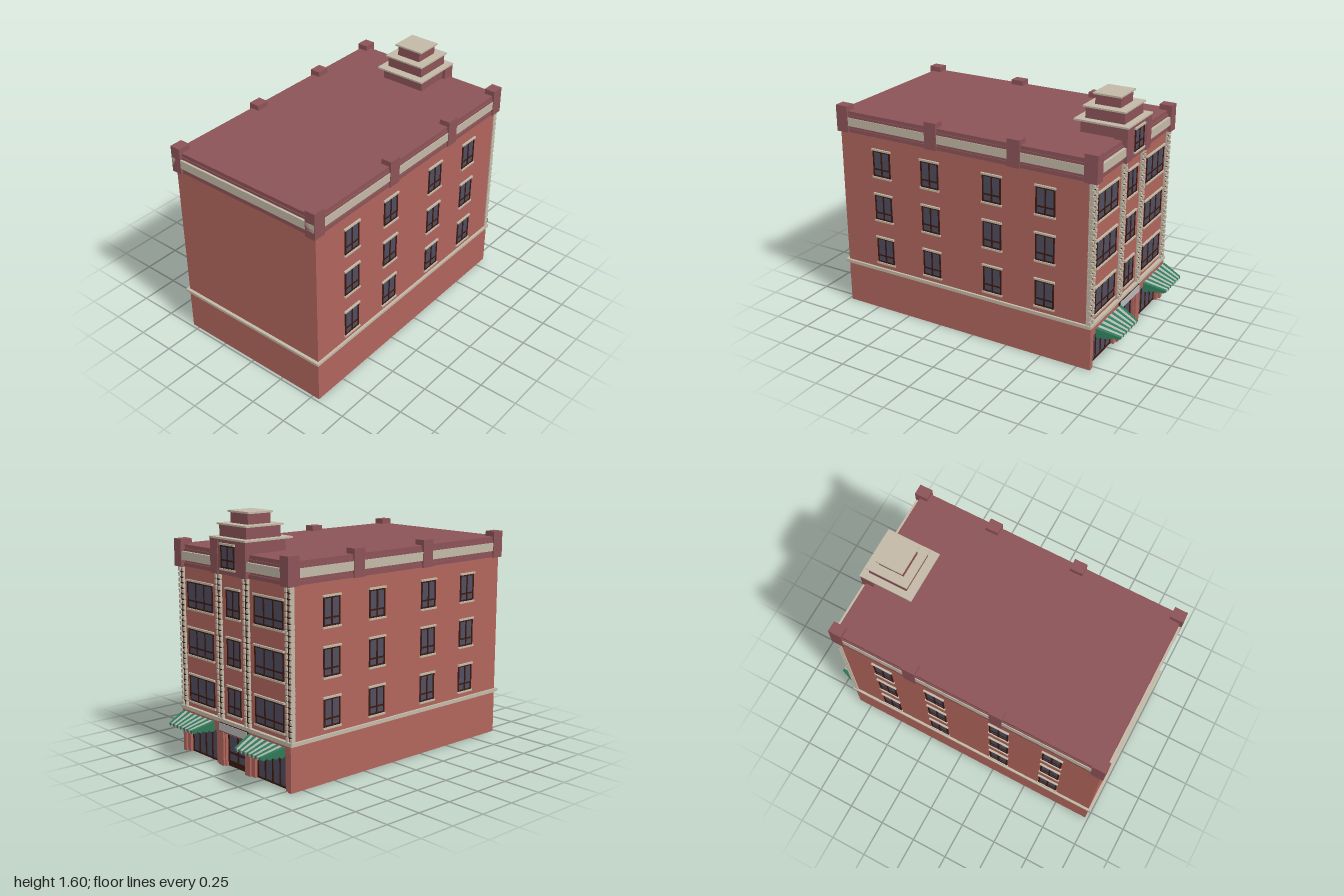
import * as THREE from 'three';

const mat = (color, side = THREE.FrontSide) => new THREE.MeshStandardMaterial({ color, side });
const BRICK = mat(0xb0655c), MAROON = mat(0x8c5357), CREAM = mat(0xc2b8a6), BROWN = mat(0x3b1a10);
const GLASS = mat(0x504d60), SIGN = mat(0xb8b8ba);
const GREEN = mat(0x2f7a58, THREE.DoubleSide), PALE = mat(0xb0b5b0, THREE.DoubleSide);

// Box given by its extents
function box(parent, name, m, x0, x1, y0, y1, z0, z1) {
  const mesh = new THREE.Mesh(new THREE.BoxGeometry(x1 - x0, y1 - y0, z1 - z0), m);
  mesh.position.set((x0 + x1) / 2, (y0 + y1) / 2, (z0 + z1) / 2);
  mesh.name = name;
  parent.add(mesh);
  return mesh;
}

function group(parent, name) {
  const g = new THREE.Group();
  g.name = name;
  parent.add(g);
  return g;
}

// Glazed frame facing +z, base at y = 0, centred on x; rails are heights of cross bars
function glazing(parent, name, w, h, panes, rails, bar = 0.01) {
  const g = group(parent, name);
  box(g, 'glass', GLASS, -w / 2, w / 2, 0, h, -0.01, 0.002);
  for (let i = 0; i <= panes; i++) {
    const x = -w / 2 + bar / 2 + (w - bar) * i / panes;
    box(g, 'mullion', BROWN, x - bar / 2, x + bar / 2, 0, h, -0.01, 0.006);
  }
  for (const y of [bar / 2, ...rails, h - bar / 2])
    box(g, 'rail', BROWN, -w / 2, w / 2, y - bar / 2, y + bar / 2, -0.01, 0.005);
  return g;
}

// Window with sill and lintel
function windowUnit(parent, w, h, panes) {
  const g = glazing(parent, 'window', w, h, panes, [0.05]);
  box(g, 'sill', CREAM, -w / 2 - 0.006, w / 2 + 0.006, -0.012, 0, -0.01, 0.012);
  box(g, 'lintel', CREAM, -w / 2 - 0.006, w / 2 + 0.006, h, h + 0.012, -0.01, 0.012);
  return g;
}

// Quad strip from two rows of points
function strip(parent, name, m, top, bottom) {
  const pos = [], idx = [];
  top.forEach((t, i) => {
    pos.push(...t, ...bottom[i]);
    if (i) idx.push(2 * i - 2, 2 * i - 1, 2 * i, 2 * i, 2 * i - 1, 2 * i + 1);
  });
  const geo = new THREE.BufferGeometry();
  geo.setAttribute('position', new THREE.Float32BufferAttribute(pos, 3));
  geo.setIndex(idx);
  geo.computeVertexNormals();
  const mesh = new THREE.Mesh(geo, m);
  mesh.name = name;
  parent.add(mesh);
}

// Striped awning tapering outward, with scalloped valance on three sides
function awning(parent, zc) {
  const g = group(parent, 'awning');
  const inner = t => [0.86, 0.28, zc + (t - 0.5) * 0.35];
  const outer = t => [1.0, 0.235, zc + (t - 0.5) * 0.25];
  const mix = (a, b, t) => a.map((v, i) => v + (b[i] - v) * t);
  const scallops = (m, a, b) => {
    const top = [], low = [];
    for (let i = 0; i <= 6; i++) {
      const p = mix(a, b, i / 6);
      top.push(p);
      low.push([p[0], 0.226 - 0.011 * Math.sin(Math.PI * i / 6), p[2]]);
    }
    strip(g, 'valance', m, top, low);
  };
  const n = 13;
  for (let i = 0; i < n; i++) {
    const m = i % 2 ? PALE : GREEN, a = i / n, b = (i + 1) / n;
    strip(g, 'stripe', m, [inner(a), inner(b)], [outer(a), outer(b)]);
    scallops(m, outer(a), outer(b));
  }
  for (const t of [0, 1])
    for (let i = 0; i < 4; i++)
      scallops(GREEN, mix(inner(t), outer(t), i / 4), mix(inner(t), outer(t), (i + 1) / 4));
}

export function createModel() {
  const model = new THREE.Group();
  model.name = 'building';
  const rows = [0.35, 0.657, 0.96];

  // Main block above a hollow ground floor
  box(model, 'upperWalls', BRICK, -0.98, 0.825, 0.25, 1.225, -0.55, 0.55);
  box(model, 'roofBlock', MAROON, -0.98, 0.83, 1.225, 1.363, -0.55, 0.55);
  const ground = group(model, 'groundFloor');
  box(ground, 'leftWall', BRICK, -0.98, -0.975, 0, 0.25, -0.55, 0.55);
  for (const s of [-1, 1]) {
    const side = (name, m, x0, x1, y0, y1, a, b) =>
      box(ground, name, m, x0, x1, y0, y1, Math.min(s * a, s * b), Math.max(s * a, s * b));
    side('sideWall', BRICK, -0.98, 0.84, 0, 0.25, 0.545, 0.55);
    side('cornerPillar', BRICK, 0.79, 0.83, 0, 0.25, 0.487, 0.545);
    side('cornerPilaster', BRICK, 0.8, 0.842, 0, 0.29, 0.52, 0.55);
    side('doorPillar', BRICK, 0.79, 0.83, 0, 0.25, 0.1, 0.195);
    side('doorPilaster', BRICK, 0.8, 0.842, 0, 0.23, 0.11, 0.16);
    const shop = glazing(ground, 'shopWindow', 0.292, 0.215, 4, [], 0.012);
    shop.rotation.y = Math.PI / 2;
    shop.position.set(0.805, 0, s * 0.341);
    awning(model, s * 0.345);
  }
  const door = glazing(ground, 'doubleDoor', 0.2, 0.22, 2, [0.02, 0.03, 0.09], 0.014);
  door.rotation.y = Math.PI / 2;
  door.position.x = 0.805;
  box(ground, 'shopLintel', BRICK, 0.79, 0.835, 0.215, 0.29, -0.55, 0.55);
  box(ground, 'signBoard', SIGN, 0.83, 0.85, 0.23, 0.28, -0.142, 0.142);
  box(ground, 'signBorder', BROWN, 0.83, 0.847, 0.226, 0.284, -0.146, 0.146);
  box(model, 'beltCourse', CREAM, -1.0, 0.847, 0.29, 0.308, -0.565, 0.565);
  box(model, 'beltMoulding', CREAM, -0.99, 0.843, 0.282, 0.29, -0.558, 0.558);

  // Windows on the two long walls
  for (const s of [-1, 1])
    for (const x of [-0.665, -0.297, 0.155, 0.524])
      for (const y of rows) {
        const w = windowUnit(model, 0.132, 0.175, 2);
        w.position.set(x, y, s * 0.55);
        if (s < 0) w.rotation.y = Math.PI;
      }

  // Windows on the street facade
  for (const y of rows)
    for (const z of [-0.342, 0, 0.342]) {
      const w = windowUnit(model, z ? 0.272 : 0.134, 0.172, z ? 3 : 2);
      w.rotation.y = Math.PI / 2;
      w.position.set(0.825, y, z);
    }

  // Facade pilasters: dark channel between two columns of stacked blocks
  for (const z of [-0.531, -0.137, 0.137, 0.531]) {
    const p = group(model, 'pilaster');
    box(p, 'channel', BROWN, 0.81, 0.832, 0.308, 1.225, z - 0.014, z + 0.014);
    for (const s of [-1, 1]) {
      const c = z + s * 0.018;
      box(p, 'blockBacking', CREAM, 0.81, 0.832, 0.308, 1.225, c - 0.006, c + 0.006);
      for (let i = 0; i < 26; i++) {
        const y = 0.308 + i * 0.0353;
        box(p, 'block', CREAM, 0.81, 0.842, y, y + 0.025, c - 0.008, c + 0.008);
      }
    }
  }

  // Cornice and parapet piers
  box(model, 'corniceBand', CREAM, -1.0, 0.857, 1.267, 1.322, -0.56, 0.56);
  box(model, 'corniceMoulding', MAROON, -0.985, 0.84, 1.225, 1.25, -0.555, 0.555);
  box(model, 'parapetMoulding', MAROON, -0.985, 0.838, 1.322, 1.338, -0.555, 0.555);
  for (const s of [-1, 1])
    for (const x of [-0.957, -0.278, 0.312, 0.819])
      box(model, 'parapetPier', MAROON, x - 0.043, x + 0.043, 1.222, 1.397,
        s * 0.528 - 0.036, s * 0.528 + 0.036);

  // Stepped tower over the entrance bay
  const tower = group(model, 'tower');
  box(tower, 'towerBase', MAROON, 0.54, 0.845, 1.225, 1.437, -0.155, 0.155);
  box(tower, 'towerBay', MAROON, 0.7, 0.858, 1.225, 1.437, -0.1, 0.1);
  for (const s of [-1, 1])
    box(tower, 'towerPier', MAROON, 0.775, 0.862, 1.222, 1.437, s * 0.138 - 0.037, s * 0.138 + 0.037);
  const w = windowUnit(tower, 0.134, 0.14, 2);
  w.rotation.y = Math.PI / 2;
  w.position.set(0.858, 1.264, 0);
  box(tower, 'lowerSlab', CREAM, 0.503, 0.865, 1.437, 1.448, -0.178, 0.178);
  box(tower, 'middleStep', MAROON, 0.56, 0.82, 1.448, 1.518, -0.133, 0.133);
  box(tower, 'middleSlab', CREAM, 0.545, 0.83, 1.518, 1.528, -0.145, 0.145);
  box(tower, 'topStep', MAROON, 0.6, 0.77, 1.528, 1.592, -0.085, 0.085);
  box(tower, 'topSlab', CREAM, 0.592, 0.777, 1.592, 1.603, -0.103, 0.103);
  return model;
}
